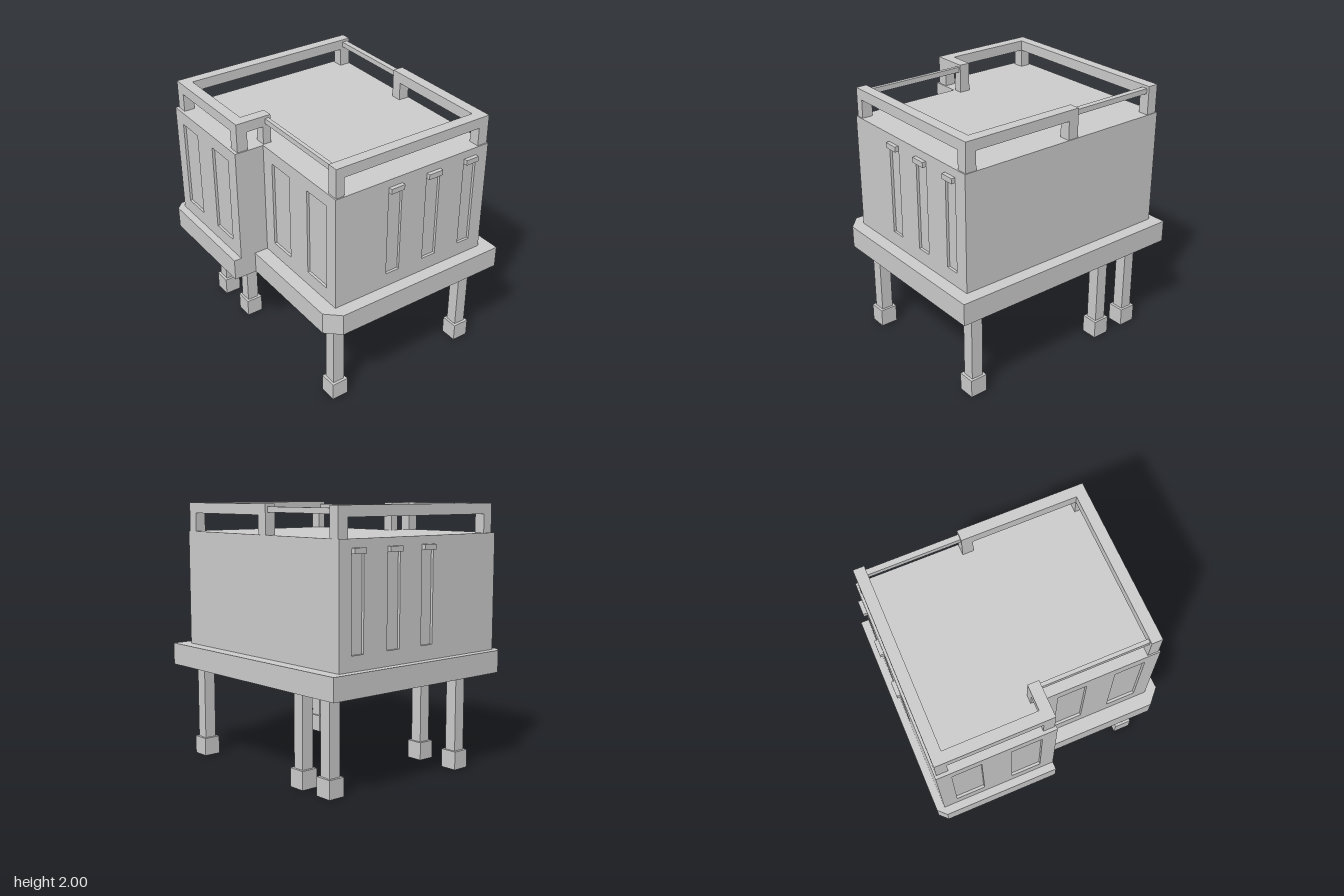
import * as THREE from 'three';

const grey = new THREE.MeshStandardMaterial({ color: 0xcccccc, flatShading: true });

export function createModel() {
  const model = new THREE.Group();

  const add = (name, geometry) => {
    const mesh = new THREE.Mesh(geometry, grey);
    mesh.name = name;
    model.add(mesh);
    return mesh;
  };

  // Box given by its extents on each axis
  const box = (name, x0, x1, y0, y1, z0, z1) =>
    add(name, new THREE.BoxGeometry(x1 - x0, y1 - y0, z1 - z0))
      .position.set((x0 + x1) / 2, (y0 + y1) / 2, (z0 + z1) / 2);

  // Slab with a floor-plan outline of [x, z] points
  const slab = (name, points, y0, y1) => {
    const shape = new THREE.Shape(points.map(([x, z]) => new THREE.Vector2(x, z)));
    const geometry = new THREE.ExtrudeGeometry(shape, { depth: y1 - y0, bevelEnabled: false });
    geometry.rotateX(Math.PI / 2).translate(0, y1, 0);
    add(name, geometry);
  };

  // Thin upright wall in the xy plane with openings, y running from 0.89 to 1.78
  const T = 0.02;
  const rect = (path, a, b, c, d) =>
    path.moveTo(a, c).lineTo(b, c).lineTo(b, d).lineTo(a, d).closePath();
  const wall = (name, a, b, openings) => {
    const shape = rect(new THREE.Shape(), a, b, 0.89, 1.78);
    for (const [p, q] of openings) shape.holes.push(rect(new THREE.Path(), p, q, 1.0, 1.68));
    return add(name, new THREE.ExtrudeGeometry(shape, { depth: T, bevelEnabled: false }));
  };

  // Platform with clipped front corners
  slab('platform', [[-0.97, -0.86], [0.97, -0.86], [0.97, 0.57], [0.87, 0.68],
    [-0.02, 0.68], [-0.02, 0.86], [-0.91, 0.86], [-0.97, 0.8]], 0.72, 0.89);

  // Cabin core, with outer walls whose openings form recessed panels
  slab('cabinCore', [[-0.89, -0.76], [0.85, -0.76], [0.85, 0.55],
    [-0.02, 0.55], [-0.02, 0.78], [-0.89, 0.78]], 0.89, 1.78);
  wall('frontWallRight', -0.91, -0.02, [[-0.8, -0.58], [-0.36, -0.13]]).position.z = 0.8 - T;
  wall('frontWallLeft', -0.02, 0.87, [[0.09, 0.31], [0.53, 0.76]]).position.z = 0.57 - T;

  const slots = [[0.015, 0.13], [-0.32, -0.2], [-0.65, -0.54]];
  const leftWall = wall('leftWall', -0.55, 0.76, slots.map(([a, b]) => [-b, -a]));
  leftWall.rotation.y = Math.PI / 2;
  leftWall.position.x = 0.87 - T;
  const rightWall = wall('rightWall', -0.76, 0.78, slots);
  rightWall.rotation.y = -Math.PI / 2;
  rightWall.position.x = -0.91 + T;

  // Ledges above the side slots
  for (const [a, b] of slots) {
    box('slotLedge', 0.86, 0.9, 1.68, 1.72, a, b);
    box('slotLedge', -0.94, -0.9, 1.68, 1.72, a, b);
  }

  // Roof railing: heavy top rails
  const rail = (x0, x1, z0, z1) => box('topRail', x0, x1, 1.92, 2, z0, z1);
  rail(-0.895, -0.81, -0.755, 0.775);
  rail(-0.81, -0.03, 0.69, 0.775);
  rail(-0.115, -0.03, 0.495, 0.69);
  rail(0.775, 0.86, -0.67, 0.56);
  rail(-0.115, 0.86, -0.755, -0.67);

  // Slim bars closing the gaps between the heavy rails
  box('slimBar', -0.03, 0.775, 1.94, 1.98, 0.51, 0.54);
  box('slimBar', -0.81, -0.115, 1.94, 1.98, -0.735, -0.69);

  // Railing posts
  const post = (x0, x1, z0, z1) => box('railPost', x0, x1, 1.78, 1.92, z0, z1);
  for (const x of [-0.895, -0.115, 0.775]) post(x, x + 0.085, -0.755, -0.67);
  for (const x of [-0.895, -0.115]) post(x, x + 0.085, 0.69, 0.775);
  for (const x of [-0.115, 0.775]) post(x, x + 0.085, 0.495, 0.56);

  // Legs standing on square feet
  for (const [x, z] of [[-0.81, 0.5], [-0.45, 0.5], [0.77, 0.5],
    [-0.74, -0.69], [-0.45, -0.69], [0.77, -0.69]]) {
    box('leg', x - 0.047, x + 0.047, 0.14, 0.72, z - 0.047, z + 0.047);
    box('foot', x - 0.068, x + 0.068, 0, 0.14, z - 0.066, z + 0.066);
  }

  return model;
}
